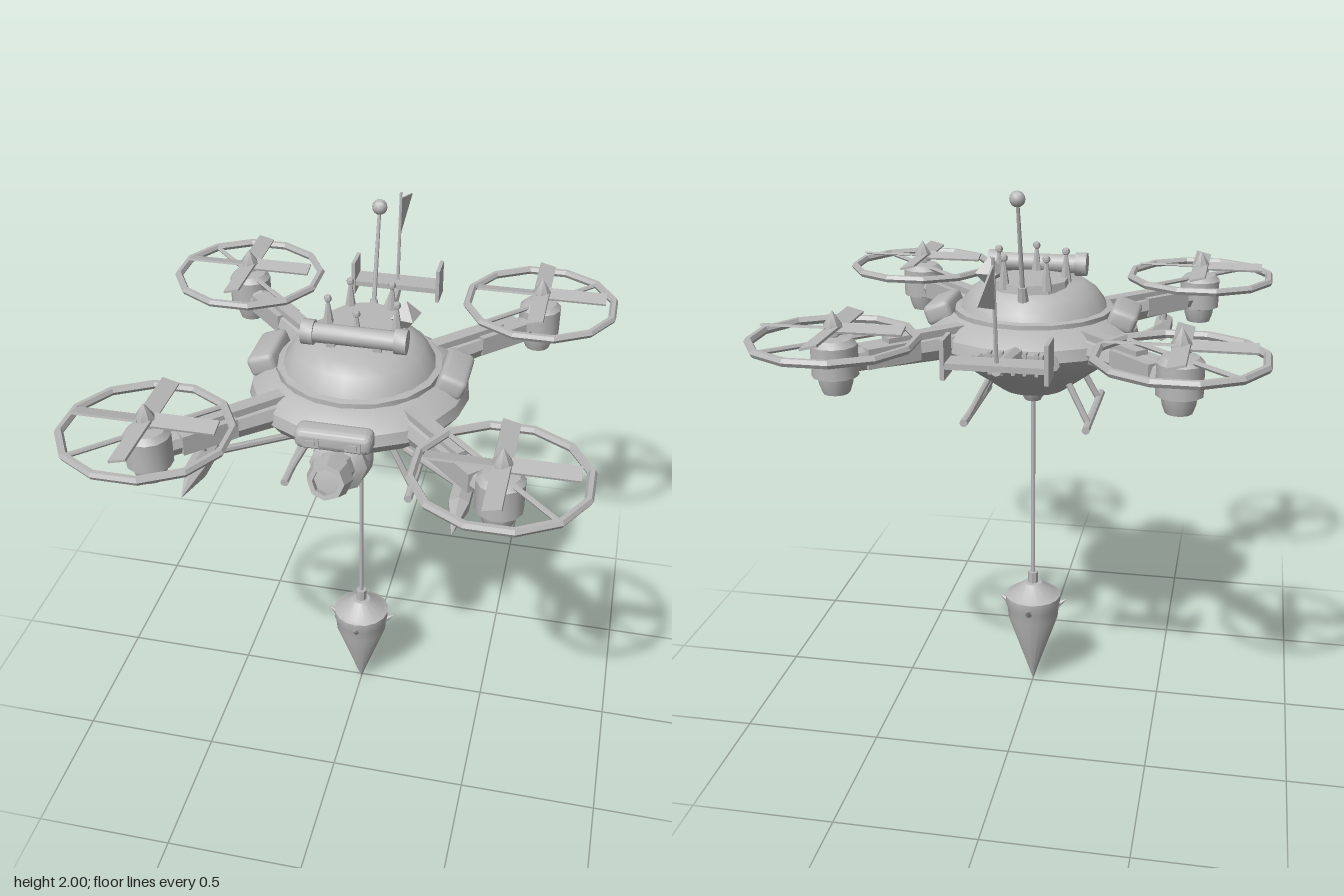
import * as THREE from 'three';
import { toCreasedNormals } from 'three/addons/utils/BufferGeometryUtils.js';
import { RoundedBoxGeometry } from 'three/addons/geometries/RoundedBoxGeometry.js';

const grey = new THREE.MeshStandardMaterial({ color: 0xb8b8b8, side: THREE.DoubleSide });
grey.name = 'grey';
const V = (x, y, z) => new THREE.Vector3(x, y, z);

function add(parent, name, geo, pos = [0, 0, 0], rot = [0, 0, 0], crease = 0.6) {
  const mesh = new THREE.Mesh(toCreasedNormals(geo, crease), grey);
  mesh.name = name;
  mesh.position.set(...pos);
  mesh.rotation.set(...rot);
  parent.add(mesh);
  return mesh;
}

// Round bar from point a (radius ra) to point b (radius rb)
function bar(parent, name, a, b, ra, rb = ra, sides = 8) {
  const p = V(...a), q = V(...b);
  const mesh = add(parent, name, new THREE.CylinderGeometry(rb, ra, p.distanceTo(q), sides));
  mesh.position.copy(p).add(q).multiplyScalar(0.5);
  mesh.quaternion.setFromUnitVectors(V(0, 1, 0), q.sub(p).normalize());
  return mesh;
}

// Turned part from [radius, height] pairs, bottom to top
function turned(parent, name, profile, sides, pos) {
  const pts = profile.map(([r, y]) => new THREE.Vector2(r, y));
  return add(parent, name, new THREE.LatheGeometry(pts, sides), pos);
}

const box = (w, h, d) => new THREE.BoxGeometry(w, h, d);

function makeRotorArm(angle) {
  const arm = new THREE.Group();
  arm.name = 'rotorArm';
  arm.position.set(0, 0, 0.04);
  arm.rotation.y = angle;
  const R = 0.8;
  // Arm tube, sleeve and top plates
  bar(arm, 'armTube', [0.26, 1.45, 0], [R - 0.04, 1.46, 0], 0.055, 0.04, 8);
  add(arm, 'armPlate', box(0.3, 0.025, 0.05), [0.46, 1.505, 0]);
  add(arm, 'armSleeve', box(0.2, 0.07, 0.095), [0.6, 1.465, 0]);
  // Motor housing and spinner
  turned(arm, 'motor', [[0, 1.36], [0.045, 1.36], [0.056, 1.39], [0.06, 1.415], [0.078, 1.42],
    [0.078, 1.525], [0.06, 1.545], [0.015, 1.55], [0.015, 1.57], [0, 1.57]], 12, [R, 0, 0]);
  turned(arm, 'spinner', [[0, 1.56], [0.033, 1.56], [0.033, 1.59], [0, 1.64]], 8, [R, 0, 0]);
  // Guard ring and its strut
  add(arm, 'guardRing', new THREE.TorusGeometry(0.276, 0.015, 6, 12), [R, 1.54, 0], [Math.PI / 2, 0, 0], 0.4);
  bar(arm, 'guardStrut', [R - 0.27, 1.535, 0], [R + 0.27, 1.54, 0], 0.009, 0.009, 6);
  // Four pitched blades
  for (let k = 0; k < 4; k++) {
    const hub = new THREE.Group();
    hub.name = 'blade';
    hub.position.set(R, 1.58, 0);
    hub.rotation.y = Math.PI / 4 + k * Math.PI / 2;
    add(hub, 'bladePlate', box(0.22, 0.008, 0.06), [0.128, 0, 0], [0.25, 0, 0]);
    arm.add(hub);
  }
  return arm;
}

export function createModel() {
  const g = new THREE.Group();
  g.name = 'drone';

  // Saucer hull with dome
  turned(g, 'hull', [[0, 1.23], [0.12, 1.235], [0.29, 1.36], [0.355, 1.395], [0.385, 1.435], [0.375, 1.475],
    [0.33, 1.51], [0.29, 1.525]], 20, [0, 0, 0.035]);
  turned(g, 'domeCollar', [[0.27, 1.505], [0.288, 1.51], [0.288, 1.54], [0.262, 1.545]], 16, [0, 0, 0.035]);
  turned(g, 'dome', [[0.27, 1.53], [0.255, 1.565], [0.225, 1.605], [0.18, 1.635], [0, 1.645]], 20, [0, 0, 0.035]);

  for (let k = 0; k < 4; k++) g.add(makeRotorArm(Math.PI / 4 + k * Math.PI / 2));

  // Crown on top of the dome
  add(g, 'crownBase', new THREE.CylinderGeometry(0.135, 0.14, 0.03, 10), [0, 1.643, -0.04]);
  for (let k = 0; k < 5; k++) {
    const a = k * Math.PI * 2 / 5, x = 0.126 * Math.sin(a), z = -0.04 + 0.126 * Math.cos(a);
    bar(g, 'crownSpike', [x, 1.64, z], [x, 1.75, z], 0.022, 0.004, 6);
    add(g, 'crownBall', new THREE.SphereGeometry(0.014, 8, 6), [x, 1.748, z], [0, 0, 0], 1.2);
  }
  add(g, 'gem', new THREE.OctahedronGeometry(0.058), [0.14, 1.678, -0.065], [0, 0.6, 0], 0.2);

  // Crosswise tube with end caps
  bar(g, 'scopeTube', [-0.16, 1.678, 0.115], [0.16, 1.678, 0.115], 0.034, 0.034, 12);
  for (const s of [-1, 1]) {
    bar(g, 'scopeCap', [s * 0.138, 1.678, 0.115], [s * 0.18, 1.678, 0.115], 0.043, 0.043, 12);
    add(g, 'scopeMount', box(0.03, 0.06, 0.04), [s * 0.08, 1.635, 0.115]);
  }

  // Antenna
  bar(g, 'antennaBase', [0, 1.61, -0.18], [0, 1.66, -0.193], 0.02, 0.014);
  bar(g, 'antenna', [0, 1.63, -0.185], [0, 1.97, -0.275], 0.009, 0.006);
  add(g, 'antennaBall', new THREE.SphereGeometry(0.027, 12, 8), [0, 1.973, -0.277], [0, 0, 0], 1.2);

  // Tail boom, tailplane and pennant
  bar(g, 'tailBoom', [0, 1.45, -0.31], [0, 1.5, -0.64], 0.036, 0.018, 8);
  add(g, 'tailPlane', box(0.32, 0.02, 0.09), [0, 1.515, -0.625]);
  for (const s of [-1, 1]) add(g, 'tailFin', box(0.014, 0.13, 0.1), [s * 0.165, 1.535, -0.625]);
  bar(g, 'flagPole', [0, 1.5, -0.63], [0, 1.865, -0.668], 0.007, 0.006, 6);
  const flag = new THREE.Shape([new THREE.Vector2(0.66, 1.845), new THREE.Vector2(0.895, 1.77), new THREE.Vector2(0.65, 1.7)]);
  add(g, 'flag', new THREE.ExtrudeGeometry(flag, { depth: 0.006, bevelEnabled: false }), [-0.003, 0, 0], [0, Math.PI / 2, 0]);

  // Rear vent with exhaust stubs
  add(g, 'rearVent', box(0.2, 0.06, 0.04), [0, 1.44, -0.345]);
  for (let k = -2; k <= 2; k++) add(g, 'ventFin', box(0.012, 0.08, 0.025), [k * 0.04, 1.44, -0.36]);
  for (const s of [-1, 1]) bar(g, 'exhaust', [s * 0.115, 1.44, -0.28], [s * 0.135, 1.44, -0.36], 0.025, 0.022);

  // Sensor box with two framed eyes
  add(g, 'sensorBox', new RoundedBoxGeometry(0.26, 0.075, 0.08, 3, 0.025), [0, 1.465, 0.41]);
  for (const s of [-1, 1]) {
    add(g, 'eyeFrame', box(0.055, 0.036, 0.008), [s * 0.07, 1.465, 0.452]);
    add(g, 'eye', box(0.028, 0.018, 0.008), [s * 0.07, 1.465, 0.457]);
  }

  // Camera ball and barrel, aimed forward and slightly up
  add(g, 'cameraBall', new THREE.SphereGeometry(0.105, 14, 10), [0, 1.315, 0.29], [0, 0, 0], 1.2);
  const cam = new THREE.Group();
  cam.name = 'camera';
  cam.position.set(0, 1.315, 0.32);
  cam.rotation.x = Math.PI / 2 - 0.26;
  turned(cam, 'cameraBarrel', [[0.1, 0], [0.1, 0.05], [0.065, 0.08], [0.055, 0.13], [0.078, 0.16],
    [0.062, 0.225], [0.045, 0.225], [0.045, 0.2], [0, 0.205]], 8, [0, 0, 0]);
  g.add(cam);

  for (const s of [-1, 1]) {
    // Side pod lying on the hull slope
    add(g, 'sidePod', new RoundedBoxGeometry(0.1, 0.075, 0.21, 2, 0.02), [s * 0.33, 1.523, 0.02], [0, 0, -s * 0.35]);
    // Dart pods hung below the front arms
    const x = s * 0.435;
    bar(g, 'dartBody', [x, 1.36, 0.4], [x, 1.362, 0.55], 0.037, 0.037, 6);
    bar(g, 'dartTip', [x, 1.362, 0.55], [x, 1.355, 0.69], 0.037, 0.001, 6);
    bar(g, 'dartHanger', [x, 1.36, 0.47], [x, 1.46, 0.47], 0.014);
    bar(g, 'dartStrut', [s * 0.2, 1.31, 0.2], [x, 1.37, 0.46], 0.013);
    // Landing skids
    bar(g, 'skid', [s * 0.222, 1.145, -0.17], [s * 0.222, 1.145, 0.265], 0.015);
    for (const [za, zb] of [[0.17, 0.19], [-0.08, -0.1]])
      bar(g, 'skidLeg', [s * 0.13, 1.32, za], [s * 0.222, 1.145, zb], 0.012);
  }

  // Winch, cable and hanging bob
  const z = 0.015;
  turned(g, 'winch', [[0, 1.185], [0.03, 1.19], [0.05, 1.225], [0.05, 1.25]], 10, [0, 0, z]);
  bar(g, 'cable', [0, 0.46, z], [0, 1.2, z], 0.008);
  bar(g, 'cableClamp', [0, 0.42, z], [0, 0.48, z], 0.02, 0.02, 8);
  turned(g, 'bob', [[0, 0], [0.098, 0.29], [0.102, 0.335], [0.108, 0.35], [0.108, 0.382], [0.09, 0.39],
    [0.035, 0.435], [0, 0.437]], 16, [0, 0, z]);
  for (let k = 0; k < 4; k++) {
    const a = k * Math.PI / 2, c = Math.cos(a), s = Math.sin(a);
    bar(g, 'bobSpike', [c * 0.07, 0.325, z + s * 0.07], [c * 0.132, 0.368, z + s * 0.132], 0.026, 0.001, 6);
  }
  return g;
}
